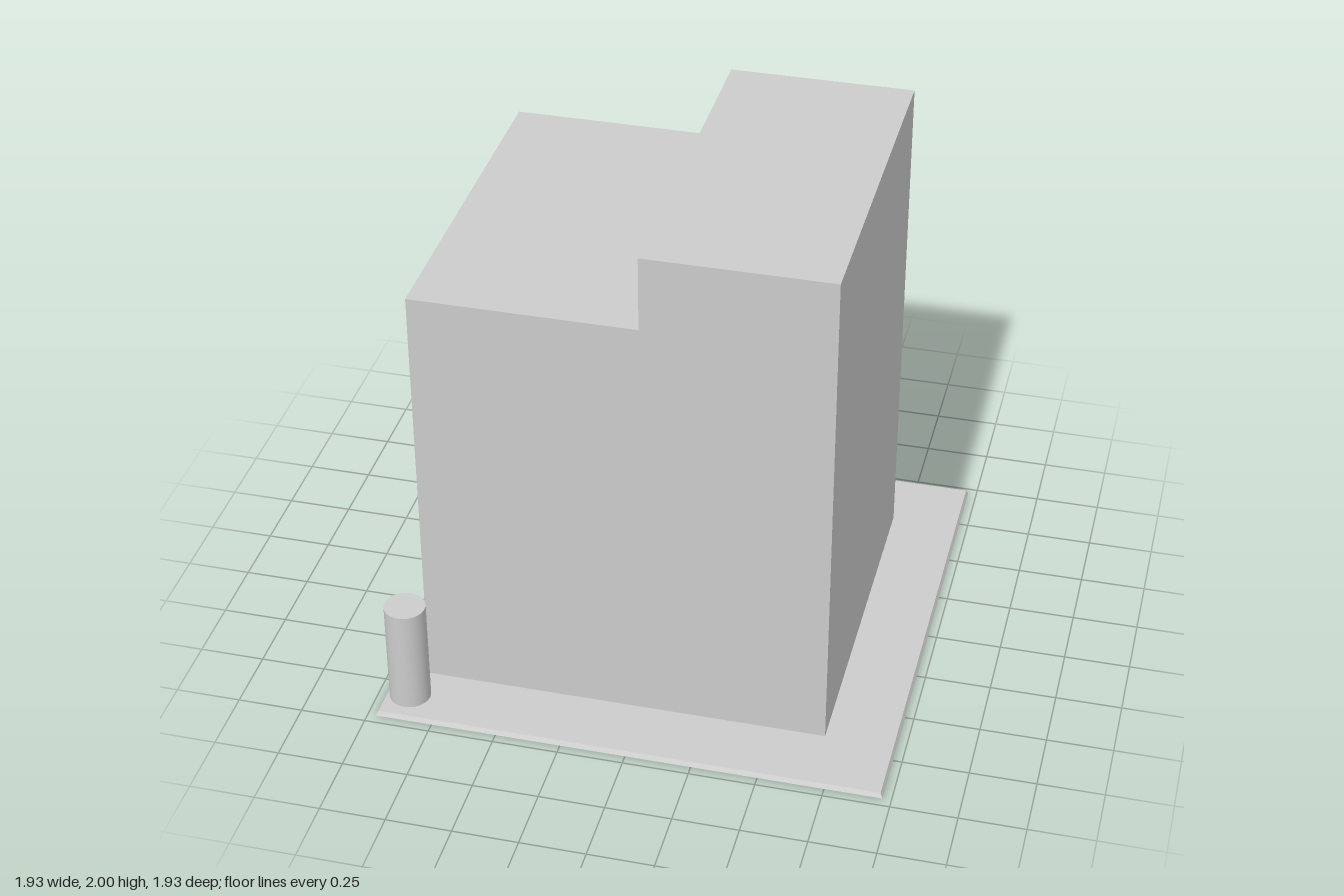
import * as THREE from 'three';

const BASE_Y = 0.004, BASE_TOP = 0.022;
const LEFT = -0.843, RIGHT = 0.7, DEPTH = 0.7;

const rectangle = (Type, x0, y0, x1, y1) =>
  new Type([[x0, y0], [x1, y0], [x1, y1], [x0, y1]].map(([x, y]) => new THREE.Vector2(x, y)));

// Hollow stepped block: extruded outline with its floor removed
function towerGeometry() {
  const outline = new THREE.Shape(
    [[LEFT, BASE_Y], [RIGHT, BASE_Y], [RIGHT, 2], [0, 2], [0, 1.71], [LEFT, 1.71]]
      .map(([x, y]) => new THREE.Vector2(x, y)));
  const solid = new THREE.ExtrudeGeometry(outline, { depth: 2 * DEPTH, bevelEnabled: false });
  solid.translate(0, 0, -DEPTH);
  const p = solid.attributes.position;
  const kept = [];
  for (let i = 0; i < p.count; i += 3) {
    const onFloor = [0, 1, 2].every((k) => p.getY(i + k) < BASE_Y + 1e-4);
    if (onFloor) continue;
    for (let k = 0; k < 3; k++) kept.push(p.getX(i + k), p.getY(i + k), p.getZ(i + k));
  }
  const shell = new THREE.BufferGeometry();
  shell.setAttribute('position', new THREE.Float32BufferAttribute(kept, 3));
  shell.computeVertexNormals();
  return shell;
}

// Thin square plate with sloped rim and an opening under the block
function plateGeometry() {
  const half = 0.967;
  const square = rectangle(THREE.Shape, -half, -half, half, half);
  square.holes.push(rectangle(THREE.Path, LEFT, -DEPTH, RIGHT, DEPTH));
  const plate = new THREE.ExtrudeGeometry(square, { depth: BASE_TOP - BASE_Y, bevelEnabled: false });
  plate.rotateX(-Math.PI / 2);
  plate.translate(0, BASE_Y, 0);
  const p = plate.attributes.position;
  for (let i = 0; i < p.count; i++) {
    const onOuterTop = p.getY(i) > BASE_TOP - 1e-4 && Math.abs(p.getZ(i)) > 0.9;
    if (onOuterTop) p.setXYZ(i, p.getX(i) * 0.991, p.getY(i), p.getZ(i) * 0.991);
  }
  plate.computeVertexNormals();
  return plate;
}

export function createModel() {
  const model = new THREE.Group();
  model.name = 'steppedBlockOnPlate';
  const grey = new THREE.MeshStandardMaterial({ color: 0xcccccc });
  const greyOpen = new THREE.MeshStandardMaterial({ color: 0xcccccc, side: THREE.DoubleSide });

  const add = (name, geometry, material) => {
    const mesh = new THREE.Mesh(geometry, material);
    mesh.name = name;
    model.add(mesh);
    return mesh;
  };

  add('steppedBlock', towerGeometry(), greyOpen);
  add('basePlate', plateGeometry(), grey);

  // Round post through the front corner of the plate
  const postHeight = 0.445;
  const post = add('cornerPost', new THREE.CylinderGeometry(0.078, 0.078, postHeight, 40), grey);
  post.position.set(-0.872, postHeight / 2, 0.836);

  return model;
}
